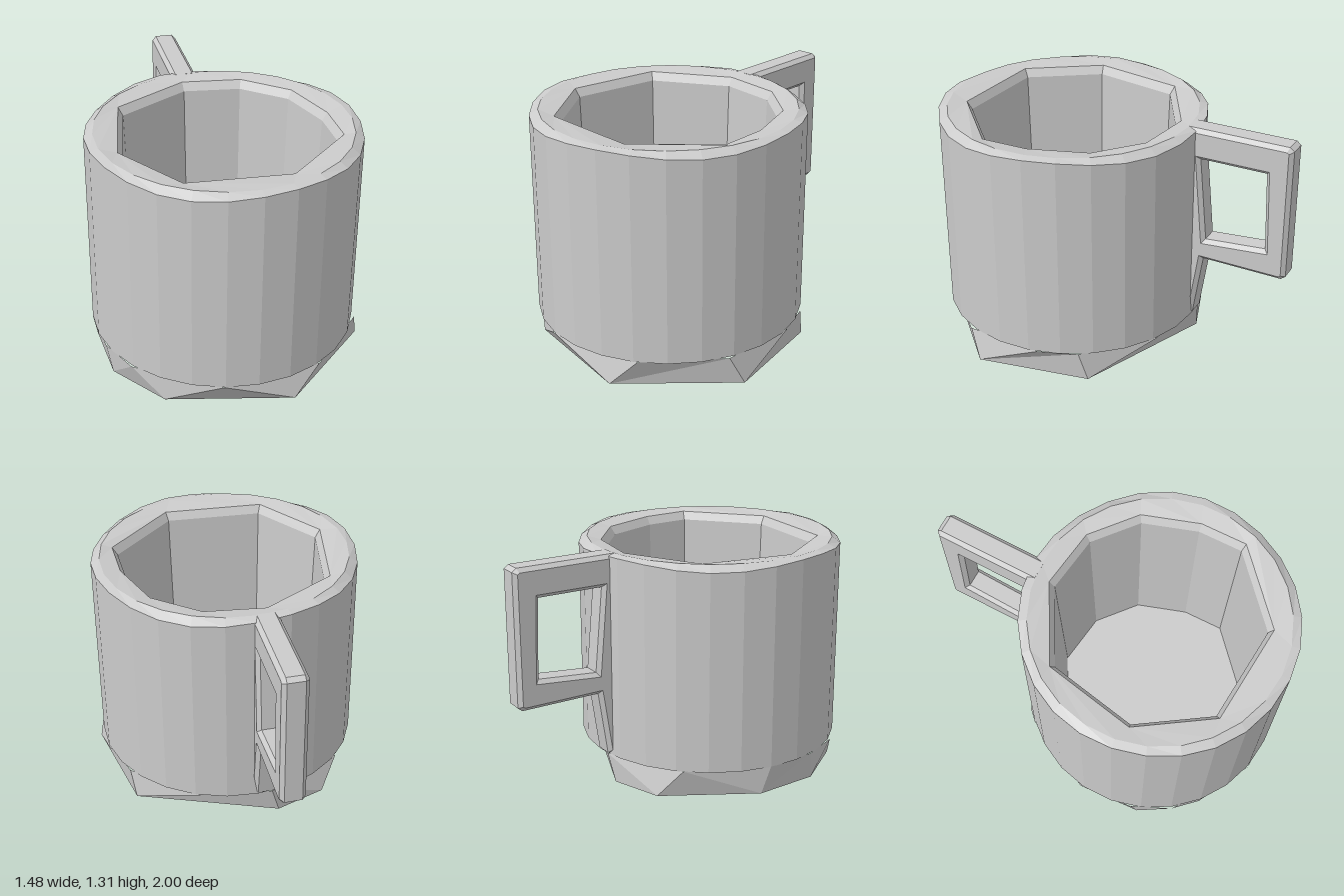
import * as THREE from 'three';

const CZ = 0.265; // the cup's axis lies forward of the origin, leaving room for the handle
const TAU = Math.PI * 2;
const material = new THREE.MeshStandardMaterial({ color: 0xcccccc, flatShading: true });

// A level loop of [x, z] points, sorted by angle around the cup's axis
function loop(points, y, scale = 1) {
  return points
    .map(([x, z]) => ({
      p: [x * scale, y, CZ + (z - CZ) * scale],
      a: (Math.atan2(x, z - CZ) + TAU) % TAU,
    }))
    .sort((u, v) => u.a - v.a);
}

// A round loop whose height may vary with the angle
function ring(radius, height, count = 26) {
  return Array.from({ length: count }, (_, i) => {
    const a = (i / count) * TAU;
    return { p: [radius * Math.sin(a), height(a), CZ + radius * Math.cos(a)], a };
  });
}

const centre = (y) => [{ p: [0, y, CZ], a: 0 }];

// Skin a chain of loops; neighbouring loops may have different point counts
function skin(name, loops) {
  const pos = [];
  const at = (l, i) => l[i % l.length].p;
  const angle = (l, i) => l[i % l.length].a + TAU * Math.floor(i / l.length);
  for (let k = 0; k + 1 < loops.length; k++) {
    const A = loops[k], B = loops[k + 1];
    const nA = A.length > 1 ? A.length : 0, nB = B.length > 1 ? B.length : 0;
    let i = 0, j = 0;
    while (i < nA || j < nB) {
      if (j >= nB || (i < nA && angle(A, i + 1) <= angle(B, j + 1))) {
        pos.push(...at(A, i), ...at(A, i + 1), ...at(B, j));
        i++;
      } else {
        pos.push(...at(A, i), ...at(B, j + 1), ...at(B, j));
        j++;
      }
    }
  }
  const geo = new THREE.BufferGeometry();
  geo.setAttribute('position', new THREE.Float32BufferAttribute(pos, 3));
  geo.computeVertexNormals();
  const mesh = new THREE.Mesh(geo, material);
  mesh.name = name;
  return mesh;
}

// Faceted foot: an uneven octagon below, a wider polygon above
function makeFoot() {
  const bottom = [[0.04, 1.0], [0.66, 0.66], [0.71, 0.03], [0.05, -0.46],
    [-0.25, -0.44], [-0.65, -0.03], [-0.72, 0.33], [-0.58, 0.68]];
  const top = [[0.2, 0.98], [0.6, 0.72], [0.74, 0.3], [0.72, 0.08], [0.47, -0.31],
    [0.1, -0.47], [-0.38, -0.37], [-0.69, 0.0], [-0.74, 0.29], [-0.7, 0.53], [-0.35, 0.92]];
  return skin('foot', [centre(0), loop(bottom, 0), loop(top, 0.162)]);
}

// Round wall, chipped rim and nine-sided hollow
function makeCup() {
  const hollow = [[0.07, -0.31], [0.36, -0.19], [0.53, 0.05], [0.55, 0.36], [0.49, 0.6],
    [0.07, 0.82], [-0.43, 0.65], [-0.57, 0.24], [-0.36, -0.2]];
  return skin('cup', [
    centre(0.16),
    ring(0.737, () => 0.16),
    ring(0.737, (a) => 1.288 + 0.014 * Math.cos(4 * a)),
    ring(0.69, () => 1.31),
    loop(hollow, 1.295, 1.06),
    loop(hollow, 1.25, 1.01),
    loop(hollow, 0.17, 0.95),
    centre(0.17),
  ]);
}

// Square handle with a gusset running down the wall
function makeHandle() {
  const v = (list) => list.map(([x, y]) => new THREE.Vector2(x, y));
  const shape = new THREE.Shape(v([[-0.08, 0.17], [-0.02, 0.17], [0.035, 0.535],
    [0.49, 0.53], [0.515, 0.55], [0.515, 1.29], [0.49, 1.31], [-0.08, 1.31]]));
  shape.holes.push(new THREE.Path(v([[0.0, 1.135], [0.375, 1.135], [0.39, 0.69], [0.045, 0.66]])));
  const bevel = 0.022, width = 0.14;
  const geo = new THREE.ExtrudeGeometry(shape, {
    depth: width - 2 * bevel, bevelEnabled: true, bevelSegments: 1,
    bevelSize: bevel, bevelThickness: bevel, bevelOffset: -bevel,
  });
  geo.translate(0, 0, bevel - width / 2);
  const handle = new THREE.Mesh(geo, material);
  handle.name = 'handle';
  handle.position.set(0.14, 0, -0.485);
  handle.rotation.y = 1.304;
  return handle;
}

export function createModel() {
  const mug = new THREE.Group();
  mug.name = 'mug';
  mug.add(makeFoot(), makeCup(), makeHandle());
  return mug;
}
